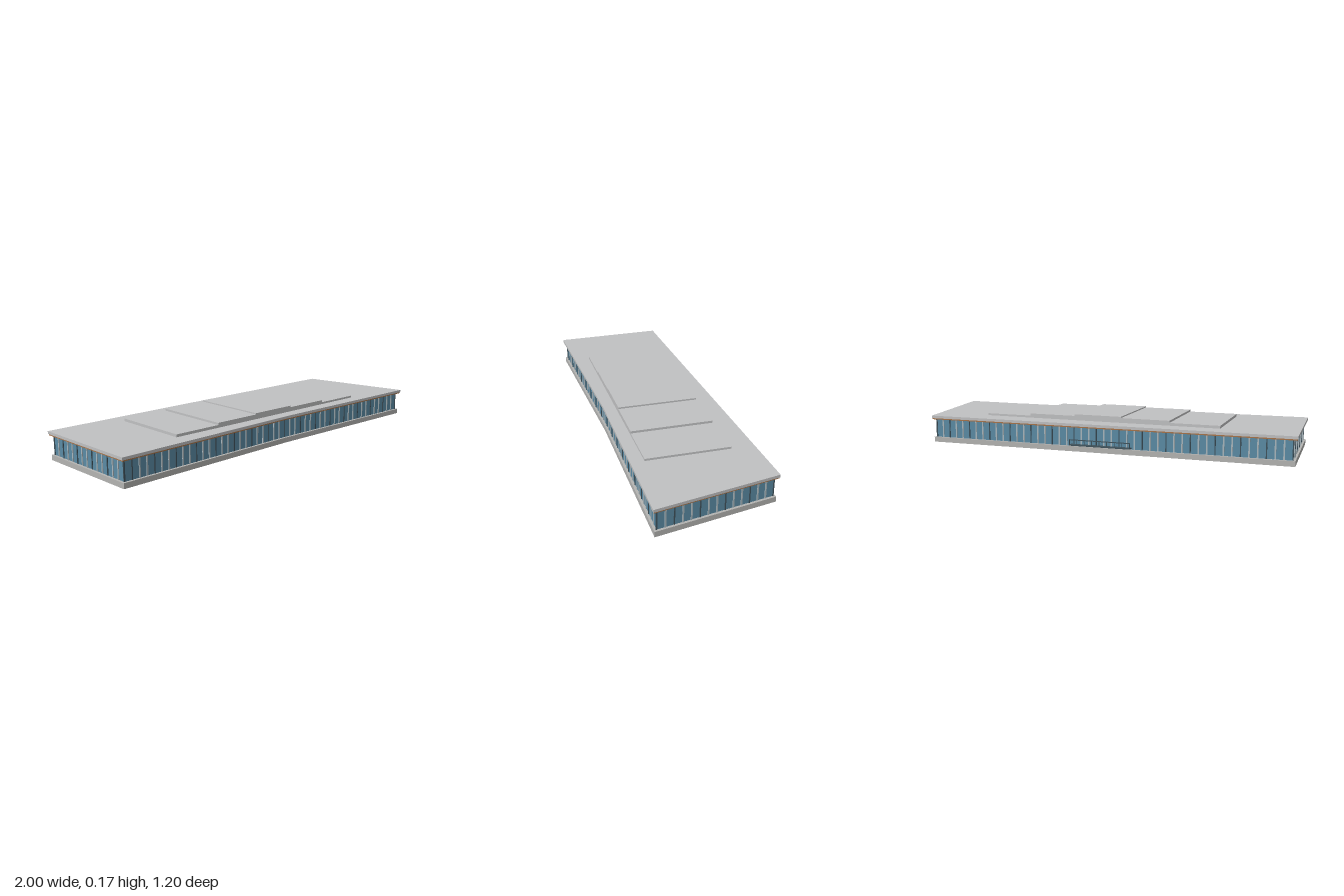
import * as THREE from 'three';

const material = (name, color) => {
  const m = new THREE.MeshStandardMaterial({ color });
  m.name = name;
  return m;
};

// Roof outline as [x, z], going round from the back right corner
const OUTLINE = [[-1, 0.06], [0.7, -0.6], [1, -0.09], [0.12, 0.225], [-0.79, 0.595]];

// Move every edge of the outline inwards by d and intersect neighbours
function inset(points, d) {
  const n = points.length;
  const edges = points.map((p, i) => {
    const q = points[(i + 1) % n];
    const v = new THREE.Vector2(q[0] - p[0], q[1] - p[1]).normalize();
    return { x: p[0] - v.y * d, z: p[1] + v.x * d, v };
  });
  return edges.map((b, i) => {
    const a = edges[(i + n - 1) % n];
    const cross = a.v.x * b.v.y - a.v.y * b.v.x;
    const t = ((b.x - a.x) * b.v.y - (b.z - a.z) * b.v.x) / cross;
    return [a.x + a.v.x * t, a.z + a.v.y * t];
  });
}

function slab(name, points, y0, y1, mat) {
  const shape = new THREE.Shape(points.map(([x, z]) => new THREE.Vector2(x, -z)));
  const geometry = new THREE.ExtrudeGeometry(shape, { depth: y1 - y0, bevelEnabled: false });
  geometry.rotateX(-Math.PI / 2);
  const mesh = new THREE.Mesh(geometry, mat);
  mesh.position.y = y0;
  mesh.name = name;
  return mesh;
}

function box(name, w, h, d, x, y, z, mat) {
  const mesh = new THREE.Mesh(new THREE.BoxGeometry(w, h, d), mat);
  mesh.position.set(x, y, z);
  mesh.name = name;
  return mesh;
}

export function createModel() {
  const roofGrey = material('roofGrey', 0xc0c1c2);
  const concrete = material('concrete', 0xb4b4b2);
  const glass = material('glass', 0x5b8ba5);
  const frame = material('frame', 0xa9b7bd);
  const darkFrame = material('darkFrame', 0x3f525c);
  const wood = material('wood', 0xa8744a);

  const model = new THREE.Group();
  model.name = 'pavilion';

  // Plinth, glazed storey, timber soffit and flat roof
  const wallLine = inset(OUTLINE, 0.02);
  model.add(
    slab('plinth', inset(OUTLINE, 0.008), 0, 0.025, concrete),
    slab('glazing', wallLine, 0.025, 0.118, glass),
    slab('soffit', inset(OUTLINE, 0.003), 0.117, 0.123, wood),
    slab('roof', OUTLINE, 0.123, 0.136, roofGrey),
  );

  // Upright window bars along each wall, every third one dark
  const bars = new THREE.Group();
  bars.name = 'windowBars';
  wallLine.forEach(([x, z], i) => {
    const [x2, z2] = wallLine[(i + 1) % wallLine.length];
    const length = Math.hypot(x2 - x, z2 - z);
    const count = Math.round(length / 0.038);
    for (let k = 0; k < count; k++) {
      const t = k / count;
      const dark = k % 3 === 0;
      const bar = box('windowBar', dark ? 0.005 : 0.007, 0.092, 0.007,
        x + (x2 - x) * t, 0.0715, z + (z2 - z) * t, dark ? darkFrame : frame);
      bar.rotation.y = Math.atan2(z - z2, x2 - x);
      bars.add(bar);
    }
  });
  model.add(bars);

  // Five stepped roof panels, highest in the middle
  const panels = new THREE.Group();
  panels.name = 'roofPanels';
  [0.149, 0.159, 0.165, 0.157, 0.146].forEach((top, i) => {
    panels.add(box('roofPanel', 0.241, top - 0.13, 0.399,
      (i - 2) * 0.241, (top + 0.13) / 2, 0, roofGrey));
  });
  panels.position.set(-0.0025, 0, -0.005);
  panels.rotation.y = 0.352;
  model.add(panels);

  // Narrow balcony on the back wall
  const balcony = new THREE.Group();
  balcony.name = 'balcony';
  balcony.add(
    box('balconyFloor', 0.305, 0.005, 0.026, 0, 0.032, 0.01, darkFrame),
    box('balconyRail', 0.305, 0.004, 0.004, 0, 0.058, -0.001, darkFrame),
  );
  for (let i = 0; i <= 8; i++) {
    balcony.add(box('balconyPost', 0.003, 0.026, 0.003, (i / 8 - 0.5) * 0.302, 0.045, -0.001, darkFrame));
  }
  balcony.position.set(-0.153, 0, -0.272);
  balcony.rotation.y = Math.atan2(0.66, 1.7);
  model.add(balcony);

  return model;
}
